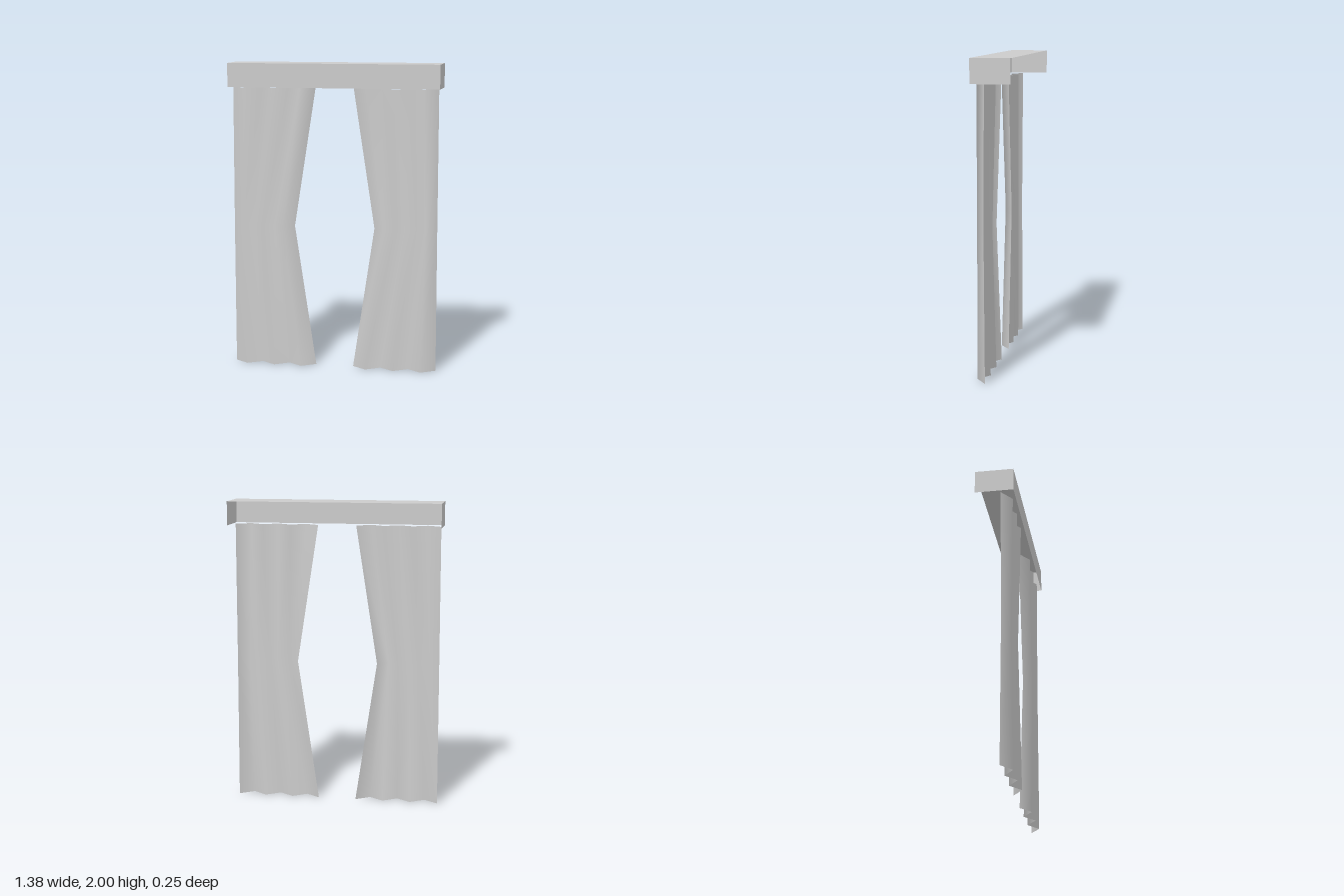
import * as THREE from 'three';

const material = new THREE.MeshStandardMaterial({ color: 0xcccccc, side: THREE.DoubleSide });

// Pelmet extents
const HALF_W = 0.69, HALF_D = 0.125, TOP = 2, BOTTOM = 1.845;
// Curtain extents
const OUTER = 0.675, INNER = 0.125, WAIST = 0.265, WAIST_Y = 0.935, CURTAIN_TOP = 1.842;
const FOLDS = 3;

function panel(name, w, h, position, rotation = [0, 0, 0]) {
  const mesh = new THREE.Mesh(new THREE.PlaneGeometry(w, h), material);
  mesh.name = name;
  mesh.position.set(...position);
  mesh.rotation.set(...rotation);
  return mesh;
}

// Thin box, open at the back and underneath
function createPelmet() {
  const pelmet = new THREE.Group();
  pelmet.name = 'pelmet';
  const h = TOP - BOTTOM, midY = (TOP + BOTTOM) / 2;
  pelmet.add(
    panel('pelmetFront', HALF_W * 2, h, [0, midY, HALF_D]),
    panel('pelmetTop', HALF_W * 2, HALF_D * 2, [0, TOP, 0], [-Math.PI / 2, 0, 0]),
    panel('pelmetLeftEnd', HALF_D * 2, h, [HALF_W, midY, 0], [0, Math.PI / 2, 0]),
    panel('pelmetRightEnd', HALF_D * 2, h, [-HALF_W, midY, 0], [0, -Math.PI / 2, 0])
  );
  return pelmet;
}

// Zigzag-folded sheet whose inner edge is drawn in at the waist
function createCurtain(name, side) {
  const rows = [CURTAIN_TOP, WAIST_Y, 0];
  const columns = FOLDS * 2;
  const geometry = new THREE.PlaneGeometry(1, 1, columns, rows.length - 1);
  const pos = geometry.attributes.position;
  for (let i = 0; i < pos.count; i++) {
    const column = i % (columns + 1);
    const row = Math.floor(i / (columns + 1));
    const t = side > 0 ? column / columns : 1 - column / columns; // 0 inner, 1 outer
    const atWaist = row === 1;
    const x = THREE.MathUtils.lerp(atWaist ? WAIST : INNER, OUTER, t);
    const depth = atWaist ? 0.027 : 0.0325;
    pos.setXYZ(i, side * x, rows[row], 0.0725 + (column % 2 ? depth : -depth));
  }
  geometry.computeVertexNormals();
  const mesh = new THREE.Mesh(geometry, material);
  mesh.name = name;
  return mesh;
}

export function createModel() {
  const model = new THREE.Group();
  model.name = 'curtains';
  model.add(createPelmet(), createCurtain('leftCurtain', 1), createCurtain('rightCurtain', -1));
  return model;
}
